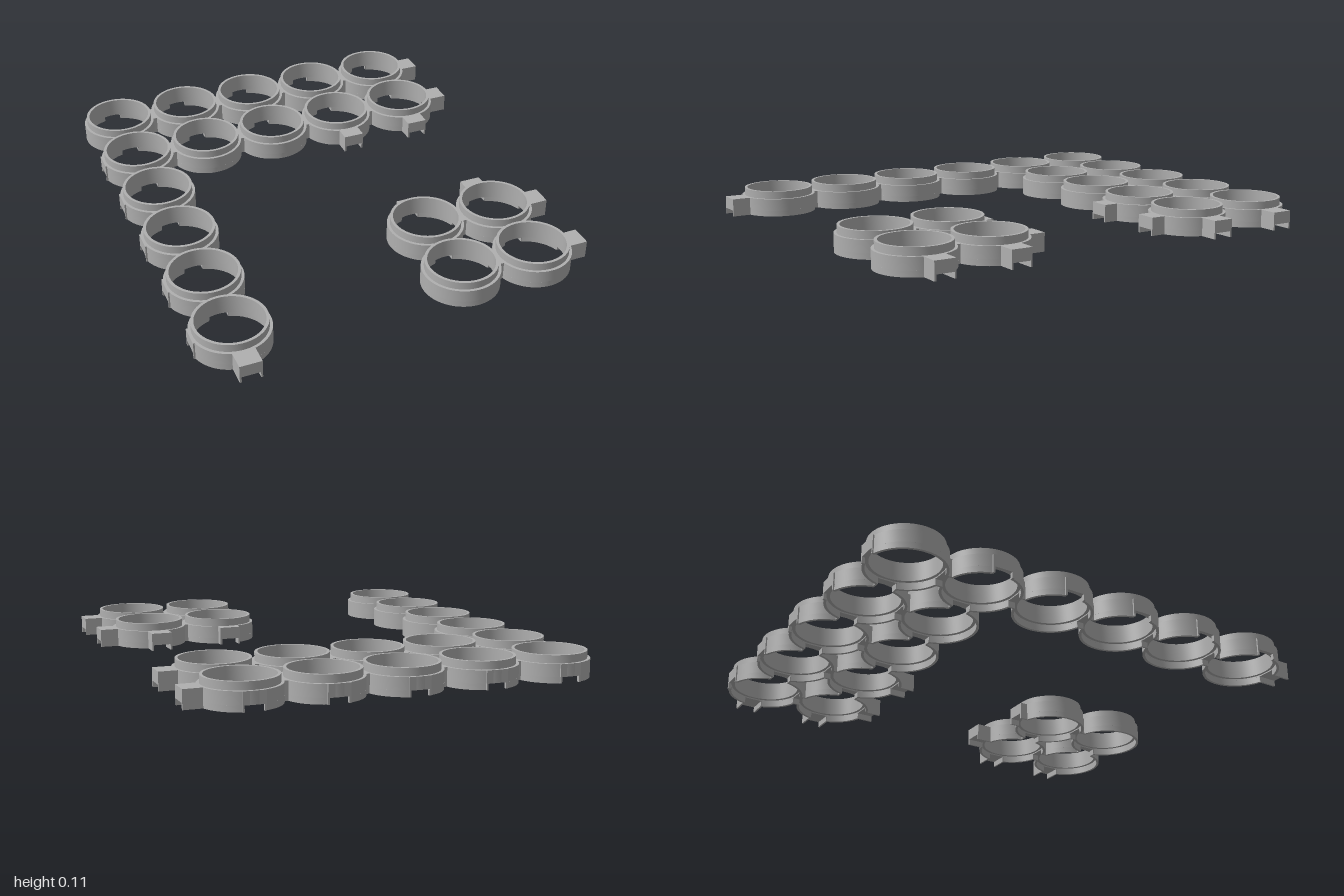
import * as THREE from 'three';
import { mergeGeometries, toCreasedNormals } from 'three/addons/utils/BufferGeometryUtils.js';

const PITCH = 0.322, X0 = -0.68, Z0 = -0.841;
const OUTER = 0.16, LIP = 0.148, INNER = 0.136, SOCKET = 0.149;
const NOTCH_H = 0.025, SHOULDER = 0.076, TOP = 0.108;
const HALF = 0.045, LEG = 0.0075;          // connector half width and leg thickness
const FLUSH = PITCH / 2;

// Closed (radius, height) outline spun about y, with crisp edges
function spin(points, segments, start = 0, length = Math.PI * 2) {
  const outline = [...points, points[0]].map(([r, y]) => new THREE.Vector2(r, y));
  return toCreasedNormals(new THREE.LatheGeometry(outline, segments, start, length), 0.6);
}

// Block reaching out along +z, with a cable notch beneath
function connector(reach) {
  const from = 0.146, len = reach - from, mid = from + len / 2;
  const parts = [new THREE.BoxGeometry(HALF * 2, SHOULDER - NOTCH_H, len)
    .translate(0, (SHOULDER + NOTCH_H) / 2, mid)];
  for (const s of [-1, 1]) {
    parts.push(new THREE.BoxGeometry(LEG, NOTCH_H, len)
      .translate(s * (HALF - LEG / 2), NOTCH_H / 2, mid));
  }
  return mergeGeometries(parts);
}

// Grid cells [column, row]
const cells = [];
for (let c = 0; c < 5; c++) cells.push([c, 0], [c, 1]);
for (let r = 2; r < 6; r++) cells.push([0, r]);
for (const c of [3, 4]) cells.push([c, 4], [c, 5]);
const has = (c, r) => cells.some(([a, b]) => a === c && b === r);

// Sides: 0 front, 1 left (+x), 2 back, 3 right (-x)
const STEPS = [[0, 1], [1, 0], [0, -1], [-1, 0]];

// How far the connector on a side reaches from the ring centre, 0 for none
function reachOf(c, r, side) {
  const [dc, dr] = STEPS[side];
  if (has(c + dc, r + dr)) return FLUSH;
  if (side === 1 && c === 4) return 0.23;
  if (side === 0 && c === 0 && r === 5) return 0.231;
  if (side === 0 && r === 1 && c >= 3) return 0.217;
  if (side === 2 && r === 4 && c === 3) return 0.188;
  if (side === 2 && r === 4 && c === 4) return 0.222;
  if (side === 2 && r === 0) return 0.159;
  if (side === 3 && c === 0 && r > 0) return 0.16;
  return 0;
}

export function createModel() {
  const model = new THREE.Group();
  model.name = 'ringModules';
  const grey = new THREE.MeshStandardMaterial({ color: 0xb0b0b0 });
  grey.name = 'plain grey';

  // Stepped wall above the notches
  const wallGeometry = spin([[SOCKET, NOTCH_H], [OUTER, NOTCH_H], [OUTER, SHOULDER],
    [LIP, SHOULDER], [LIP, TOP], [INNER, TOP], [INNER, NOTCH_H + 0.005],
    [SOCKET, NOTCH_H + 0.005]], 64);

  for (const [c, r] of cells) {
    const ring = new THREE.Group();
    ring.name = `ring_${c}_${r}`;
    ring.position.set(X0 + c * PITCH, 0, Z0 + r * PITCH);
    const add = (geometry, name) => {
      const mesh = new THREE.Mesh(geometry, grey);
      mesh.name = name;
      ring.add(mesh);
      return mesh;
    };
    add(wallGeometry, 'ringWall');

    // Connectors on the open sides
    const open = [];
    for (let side = 0; side < 4; side++) {
      const reach = reachOf(c, r, side);
      if (!reach) continue;
      open.push(side);
      add(connector(reach), reach > 0.17 ? 'tab' : 'connector').rotation.y = side * Math.PI / 2;
    }

    // Bottom rim arcs running between the openings
    const gap = Math.asin((HALF - LEG / 2) / (OUTER - 0.005));
    open.forEach((side, i) => {
      const next = i + 1 < open.length ? open[i + 1] : open[0] + 4;
      const start = side * Math.PI / 2 + gap;
      const length = (next - side) * Math.PI / 2 - 2 * gap;
      add(spin([[SOCKET, 0], [OUTER, 0], [OUTER, NOTCH_H], [SOCKET, NOTCH_H]],
        Math.ceil(length * 10), start, length), 'bottomRim');
    });
    model.add(ring);
  }
  return model;
}
